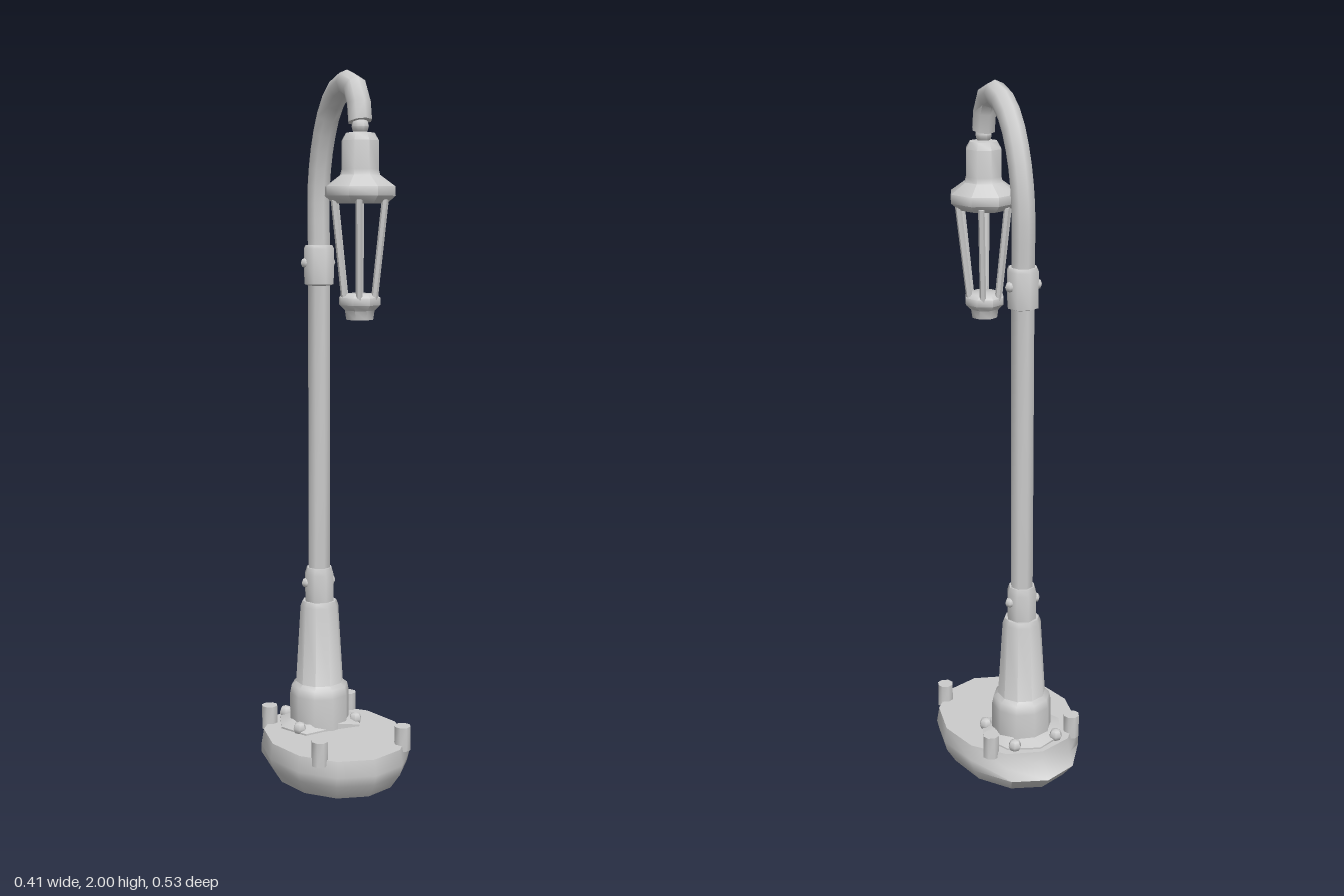
import * as THREE from 'three';
import { toCreasedNormals } from 'three/addons/utils/BufferGeometryUtils.js';

const grey = new THREE.MeshStandardMaterial({ color: 0xcccccc });
const CREASE = 0.9;
const POLE_Z = -0.1;
const LAMP_Z = 0.145;

export function createModel() {
  const model = new THREE.Group();
  model.name = 'streetLamp';

  const add = (name, geometry, parent = model) => {
    const mesh = new THREE.Mesh(toCreasedNormals(geometry, CREASE), grey);
    mesh.name = name;
    parent.add(mesh);
    return mesh;
  };
  // Profile points run from bottom to top as [radius, height]
  const turned = (profile, sides) =>
    new THREE.LatheGeometry(profile.map(([r, y]) => new THREE.Vector2(r, y)), sides);

  // Oval base, tapered below at the front and sides, nearly upright at the back
  const base = turned([[0, 0], [0.172, 0], [0.2, 0.045], [0.207, 0.075], [0.2, 0.12], [0, 0.12]], 12);
  const p = base.attributes.position;
  for (let i = 0; i < p.count; i++) {
    let z = p.getZ(i) * 1.2;
    if (z < 0 && p.getY(i) < 0.06) z *= 1.16;
    p.setZ(i, z);
  }
  add('base', base);

  // Anchor bolts around the rim of the base
  for (const x of [-0.132, 0.132]) {
    for (const z of [-0.168, 0.165]) {
      add('anchorBolt', new THREE.CylinderGeometry(0.024, 0.024, 0.07, 8)).position.set(x, 0.137, z);
    }
  }

  // Mounting flange with its front corner pulled back
  const flange = turned([[0.125, 0.1], [0.125, 0.125], [0.085, 0.14]], 8);
  const f = flange.attributes.position;
  for (let i = 0; i < f.count; i++) {
    if (Math.abs(f.getX(i)) < 0.01 && f.getZ(i) > 0) f.setZ(i, 0.08);
  }
  add('mountingFlange', flange).position.z = POLE_Z;

  for (const side of [-1, 1]) {
    for (const [x, z] of [[0.067, -0.193], [0.092, -0.046]]) {
      const bolt = add('flangeBolt', new THREE.SphereGeometry(0.02, 6, 4));
      bolt.position.set(side * x, 0.133, z);
    }
  }

  // Pedestal, lower collar, shaft and upper collar
  add('pedestal', turned([
    [0.088, 0.12], [0.088, 0.215], [0.083, 0.24], [0.07, 0.25],
    [0.056, 0.48], [0.05, 0.495], [0.03, 0.495],
  ], 10)).position.z = POLE_Z;
  add('lowerCollar', turned([[0.044, 0.49], [0.044, 0.575], [0.038, 0.595], [0.03, 0.595]], 8)).position.z = POLE_Z;
  add('shaft', new THREE.CylinderGeometry(0.033, 0.033, 0.86, 8)).position.set(0, 1.005, POLE_Z);
  add('upperCollar', turned([
    [0.03, 1.415], [0.044, 1.42], [0.045, 1.52], [0.04, 1.53], [0.03, 1.53],
  ], 8)).position.z = POLE_Z;

  // Set screws on both collars
  for (const side of [-1, 1]) {
    for (const y of [0.55, 1.48]) {
      const screw = add('collarScrew', new THREE.SphereGeometry(0.015, 6, 4));
      screw.position.set(side * 0.04, y, POLE_Z - 0.005);
    }
  }

  // Curved arm
  const path = new THREE.CatmullRomCurve3([
    [-0.1, 1.5], [-0.1, 1.7], [-0.068, 1.83], [-0.015, 1.92],
    [0.065, 1.967], [0.125, 1.94], [LAMP_Z, 1.86],
  ].map(([z, y]) => new THREE.Vector3(0, y, z)));
  add('arm', new THREE.TubeGeometry(path, 14, 0.033, 8));
  const armEnd = add('armEndCap', new THREE.CircleGeometry(0.033, 8));
  armEnd.position.copy(path.getPointAt(1));
  armEnd.lookAt(armEnd.position.clone().add(path.getTangentAt(1)));

  // Hanging lantern
  const lantern = new THREE.Group();
  lantern.name = 'lantern';
  lantern.position.z = LAMP_Z;
  model.add(lantern);

  add('hanger', new THREE.SphereGeometry(0.024, 8, 6), lantern).position.y = 1.847;
  add('hood', turned([
    [0, 1.645], [0.075, 1.645], [0.099, 1.665], [0.098, 1.69],
    [0.056, 1.72], [0.052, 1.735], [0.052, 1.81], [0.04, 1.83], [0, 1.835],
  ], 8), lantern);
  add('cup', turned([
    [0, 1.335], [0.038, 1.335], [0.042, 1.36], [0.058, 1.375],
    [0.058, 1.395], [0.045, 1.405], [0, 1.405],
  ], 8), lantern);

  // Six slanted cage rods
  const up = new THREE.Vector3(0, 1, 0);
  for (let i = 0; i < 6; i++) {
    const a = (i * Math.PI) / 3;
    const at = (r, y) => new THREE.Vector3(Math.cos(a) * r, y, Math.sin(a) * r);
    const low = at(0.046, 1.39);
    const high = at(0.078, 1.655);
    const axis = high.clone().sub(low);
    const rod = add('cageRod', new THREE.CylinderGeometry(0.009, 0.009, axis.length(), 6), lantern);
    rod.position.copy(low).lerp(high, 0.5);
    rod.quaternion.setFromUnitVectors(up, axis.normalize());
  }

  return model;
}
